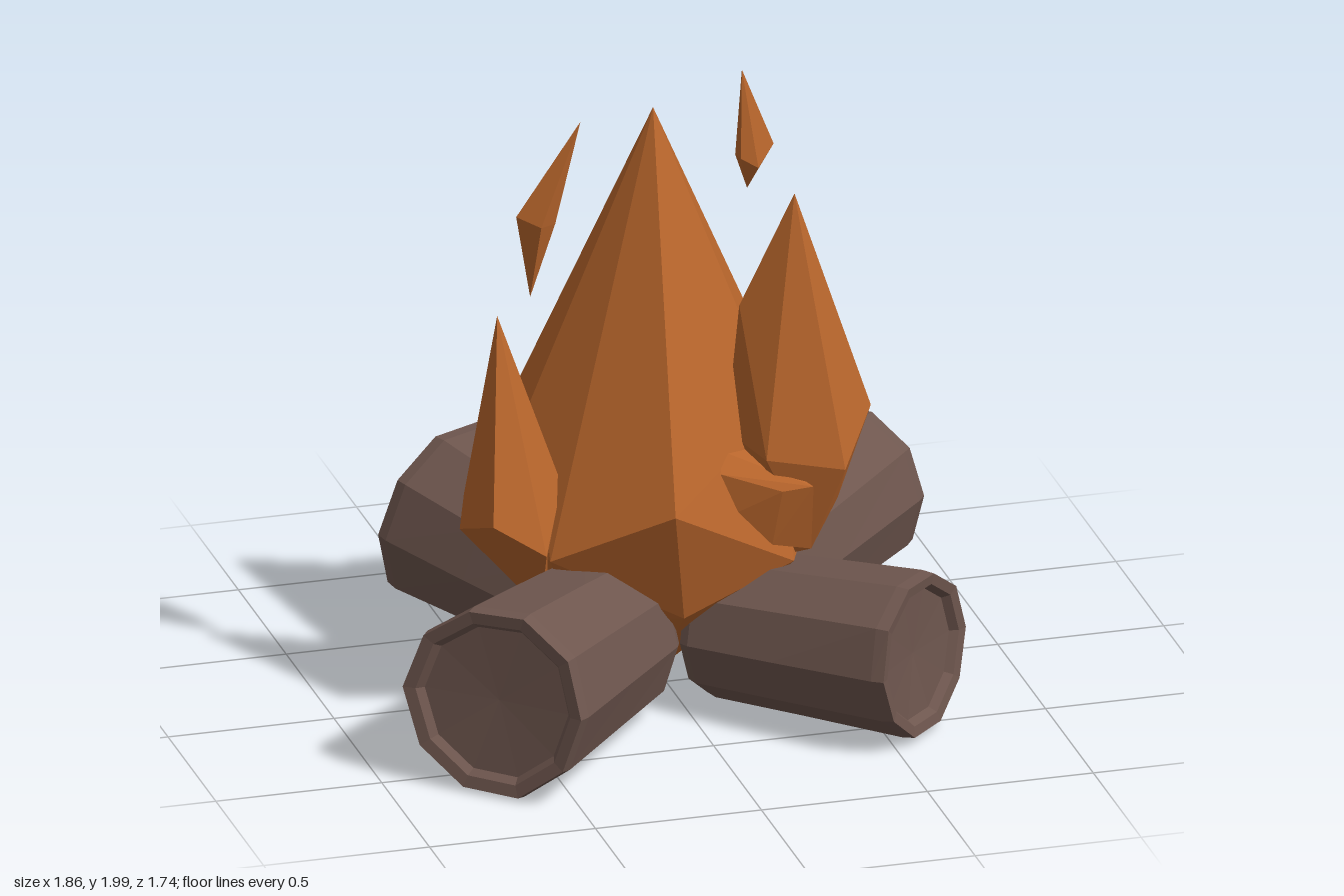
import * as THREE from 'three';
import { ConvexGeometry } from 'three/addons/geometries/ConvexGeometry.js';

const bark = new THREE.MeshStandardMaterial({ color: 0x6e564e, flatShading: true });
const fire = new THREE.MeshStandardMaterial({ color: 0xb9662c, flatShading: true });

// Hewn log from an inner end to an outer end, with a raised rim around both recessed cut faces
function makeLog(name, inner, outer, rInner, rOuter, seed) {
  const a = new THREE.Vector3(...inner), b = new THREE.Vector3(...outer);
  const L = a.distanceTo(b), rMid = rInner * 0.5 + rOuter * 0.5;
  const profile = [
    [0, 0.04], [rInner * 0.78, 0.03], [rInner * 0.84, 0.01], [rInner * 0.96, 0],
    [rInner * 1.01, 0.03], [rMid, L * 0.45], [rOuter, L - 0.04],
    [rOuter * 0.98, L], [rOuter * 0.85, L - 0.005], [rOuter * 0.79, L - 0.03], [0, L - 0.04],
  ].map(([r, y]) => new THREE.Vector2(r, y));
  const geo = new THREE.LatheGeometry(profile, 10, Math.PI / 10);
  // uneven bark: the radius varies gently around and along the log
  const p = geo.attributes.position;
  for (let i = 0; i < p.count; i++) {
    const x = p.getX(i), y = p.getY(i), z = p.getZ(i), t = Math.atan2(x, z);
    const f = 1.01 + 0.015 * Math.sin(3 * t + seed) + 0.01 * Math.sin(2 * t + seed * 2 + y * 4);
    p.setXYZ(i, x * f, y, z * f);
  }
  geo.computeVertexNormals();
  // turn to the heading first, then tip over, so that the facets sit level
  const dir = b.sub(a).normalize();
  const mesh = new THREE.Mesh(geo, bark);
  mesh.name = name;
  mesh.position.copy(a);
  mesh.rotation.set(Math.acos(dir.y), Math.atan2(dir.x, dir.z), 0, 'YXZ');
  return mesh;
}

// Faceted flame or ember spanned by its corner points
function makeFlame(name, points) {
  const mesh = new THREE.Mesh(new ConvexGeometry(points.map((q) => new THREE.Vector3(...q))), fire);
  mesh.name = name;
  return mesh;
}

export function createModel() {
  const model = new THREE.Group();
  model.name = 'campfire';

  // four logs pointing outwards from the middle
  model.add(
    makeLog('frontRightLog', [-0.205, 0.25, 0.12], [-0.715, 0.3, 0.675], 0.238, 0.29, 0.4),
    makeLog('frontLeftLog', [0.12, 0.24, 0.105], [0.607, 0.27, 0.6], 0.218, 0.245, 1.7),
    makeLog('backLeftLog', [0.16, 0.24, -0.08], [0.757, 0.275, -0.7], 0.225, 0.248, 3.1),
    makeLog('backRightLog', [-0.165, 0.24, -0.15], [-0.432, 0.305, -0.737], 0.23, 0.282, 4.6),
  );

  // tall middle flame: tip, shoulder ring, belly ring, lower ring, foot
  model.add(makeFlame('mainFlame', [
    [-0.03, 1.81, -0.03],
    [-0.4, 0.93, -0.03], [-0.15, 0.96, -0.42], [0.31, 0.95, -0.28], [0.3, 0.9, 0.15], [-0.1, 0.72, 0.45],
    [-0.48, 0.57, -0.37], [0.14, 0.55, -0.53], [0.5, 0.6, -0.13], [0.42, 0.61, 0.1], [0.3, 0.48, 0.3], [-0.42, 0.54, 0.25],
    [-0.33, 0.32, -0.29], [0.12, 0.31, -0.41], [0.39, 0.33, -0.08], [-0.04, 0.35, 0.33], [-0.31, 0.3, 0.12],
    [-0.05, 0.05, 0.02],
  ]));

  // side flames, each with a short lick at its base
  model.add(makeFlame('leftFlame', [
    [0.33, 1.59, 0.2], [0.175, 1.24, 0.16],
    [0.56, 0.9, 0.2], [0.42, 0.8, 0.42], [0.2, 0.83, 0.36], [0.13, 0.86, 0.18], [0.31, 0.91, -0.07], [0.42, 0.9, -0.02],
    [0.46, 0.62, 0.2], [0.34, 0.53, 0.34], [0.24, 0.43, 0.15], [0.44, 0.66, 0.01],
  ]));
  model.add(makeFlame('leftFlameLick', [
    [0.07, 0.79, 0.33], [0.09, 0.84, 0.28], [0.17, 0.84, 0.2], [0.12, 0.67, 0.34],
    [0.22, 0.56, 0.35], [0.34, 0.53, 0.34], [0.33, 0.75, 0.4], [0.24, 0.74, 0.39],
  ]));
  model.add(makeFlame('rightFlame', [
    [-0.54, 1.27, 0.11],
    [-0.6, 0.68, 0.28], [-0.44, 0.57, 0.28], [-0.36, 0.74, 0.16], [-0.4, 0.72, -0.04],
    [-0.6, 0.66, -0.03], [-0.65, 0.61, 0.1], [-0.4, 0.32, 0.08],
  ]));
  model.add(makeFlame('rightFlameLick', [
    [-0.46, 0.74, -0.14], [-0.55, 0.74, -0.02], [-0.38, 0.74, 0], [-0.46, 0.54, -0.12], [-0.58, 0.58, -0.01], [-0.4, 0.36, 0.04],
  ]));

  // loose embers floating above
  model.add(makeFlame('rightEmber', [
    [-0.315, 1.89, 0.2], [-0.5, 1.6, 0.17], [-0.44, 1.58, 0.225], [-0.385, 1.57, 0.18], [-0.45, 1.63, 0.135], [-0.455, 1.34, 0.16],
  ]));
  model.add(makeFlame('leftEmber', [
    [0.17, 2, 0.205], [0.16, 1.73, 0.23], [0.21, 1.7, 0.24], [0.27, 1.75, 0.19], [0.2, 1.74, 0.135], [0.16, 1.72, 0.17], [0.19, 1.62, 0.19],
  ]));
  return model;
}
